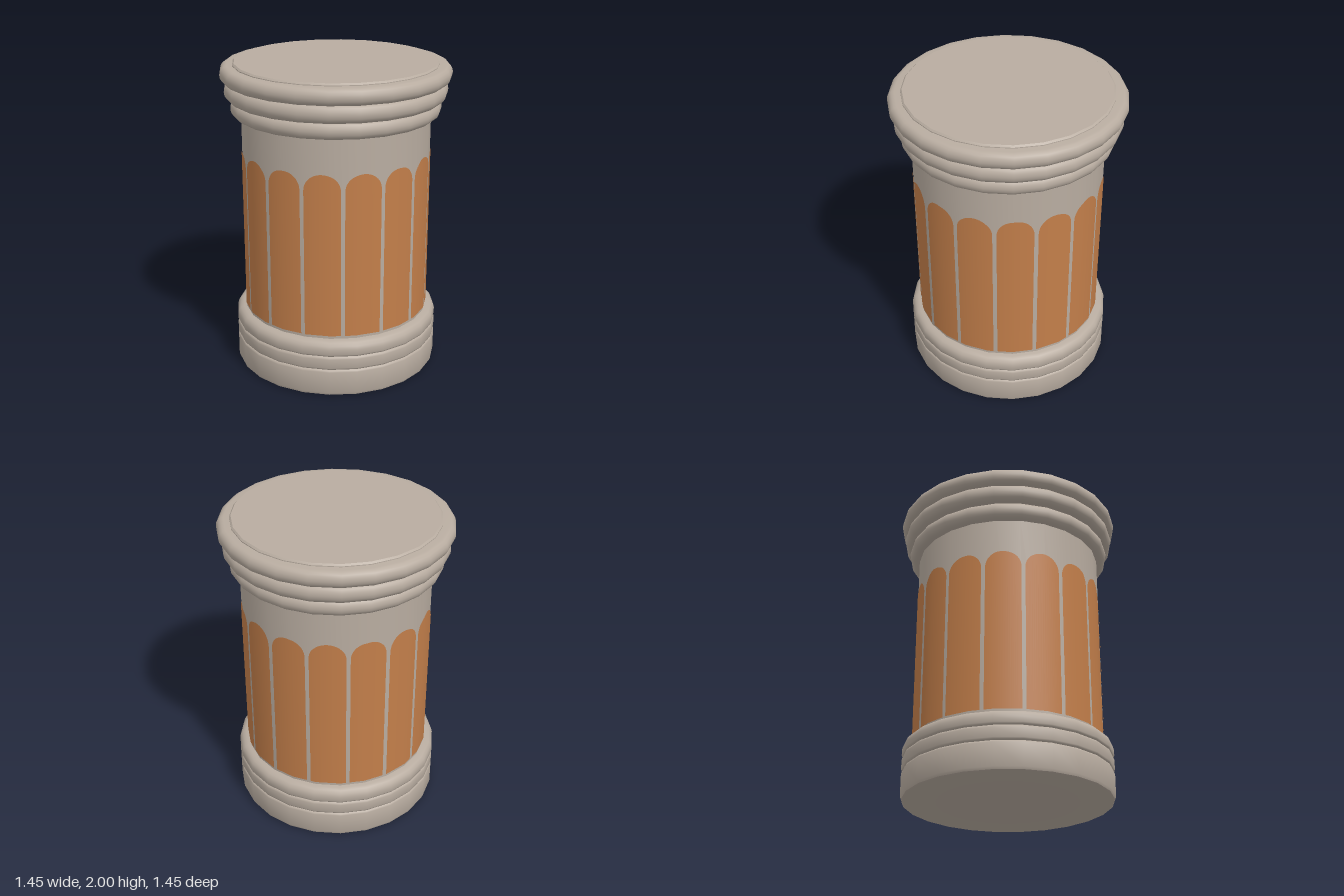
import * as THREE from 'three';
import { toCreasedNormals } from 'three/addons/utils/BufferGeometryUtils.js';

const SIDES = 24, RADIUS = 0.6, PANELS = 15;

// Faceted turned part from [radius, height] points, bottom to top
function turned(name, points, material) {
  const lathe = new THREE.LatheGeometry(points.map(([r, y]) => new THREE.Vector2(r, y)), SIDES);
  const mesh = new THREE.Mesh(toCreasedNormals(lathe, 0.75), material);
  mesh.name = name;
  return mesh;
}

// Bulging moulding profile between two heights
function moulding(r, y0, y1, inner) {
  const points = [[inner, y0]], h = (y1 - y0) / 2, bulge = 0.045;
  for (let i = 0; i <= 8; i++) {
    const a = -Math.PI / 2 + (Math.PI * i) / 8;
    points.push([r - bulge + bulge * Math.cos(a), y0 + h + h * Math.sin(a)]);
  }
  points.push([inner, y1]);
  return points;
}

// Distance from the axis to the faceted shaft wall at an angle
function wallRadius(angle) {
  const step = (2 * Math.PI) / SIDES;
  const local = angle - Math.floor(angle / step) * step - step / 2;
  return (RADIUS * Math.cos(step / 2)) / Math.cos(local);
}

// Thin arched panel wrapped on the shaft
function panelGeometry(center) {
  const half = THREE.MathUtils.degToRad(10.8), columns = 24;
  const positions = [], normals = [], index = [];
  for (let i = 0; i <= columns; i++) {
    const u = -Math.cos((Math.PI * i) / columns);
    const angle = center + u * half, r = wallRadius(angle) + 0.004;
    const s = Math.sin(angle), c = Math.cos(angle);
    const top = 1.335 + 0.107 * Math.pow(Math.max(0, 1 - Math.abs(u) ** 2.1), 1 / 2.1);
    positions.push(r * s, 0.39, r * c, r * s, top, r * c);
    normals.push(s, 0, c, s, 0, c);
    if (i < columns) {
      const a = i * 2;
      index.push(a, a + 2, a + 3, a, a + 3, a + 1);
    }
  }
  const geometry = new THREE.BufferGeometry();
  geometry.setAttribute('position', new THREE.Float32BufferAttribute(positions, 3));
  geometry.setAttribute('normal', new THREE.Float32BufferAttribute(normals, 3));
  geometry.setIndex(index);
  return geometry;
}

export function createModel() {
  const stone = new THREE.MeshStandardMaterial({ color: 0xb8aca0 });
  stone.name = 'warm grey stone';
  const orange = new THREE.MeshStandardMaterial({ color: 0xc27e4a });
  orange.name = 'burnt orange';
  const model = new THREE.Group();
  model.name = 'column';

  // Base with two shallow grooves and a rounded shoulder
  model.add(turned('base', [
    [0, 0], [0.64, 0], [0.655, 0.006], [0.662, 0.022],
    [0.662, 0.165], [0.658, 0.175], [0.65, 0.18], [0.658, 0.185], [0.662, 0.195],
    [0.662, 0.255], [0.658, 0.267], [0.65, 0.272], [0.658, 0.277], [0.662, 0.287],
    [0.662, 0.32], [0.656, 0.343], [0.64, 0.36], [0.62, 0.369], [0.58, 0.373],
  ], stone));

  // Shaft
  model.add(turned('shaft', [[RADIUS, 0.36], [RADIUS, 1.68]], stone));

  // Arched panels around the shaft
  const panels = new THREE.Group();
  panels.name = 'archedPanels';
  for (let i = 0; i < PANELS; i++) {
    const center = THREE.MathUtils.degToRad(1.5) + (i * 2 * Math.PI) / PANELS;
    const panel = new THREE.Mesh(panelGeometry(center), orange);
    panel.name = 'archedPanel';
    panels.add(panel);
  }
  model.add(panels);

  // Three stepped mouldings of the capital
  model.add(turned('lowerMoulding', moulding(0.665, 1.665, 1.772, 0.56), stone));
  model.add(turned('middleMoulding', moulding(0.702, 1.77, 1.882, 0.56), stone));
  model.add(turned('upperMoulding', moulding(0.726, 1.88, 1.985, 0.56), stone));

  // Flat top disc
  model.add(turned('topDisc', [[0.645, 1.975], [0.645, 1.99], [0.635, 2], [0, 2]], stone));

  return model;
}
